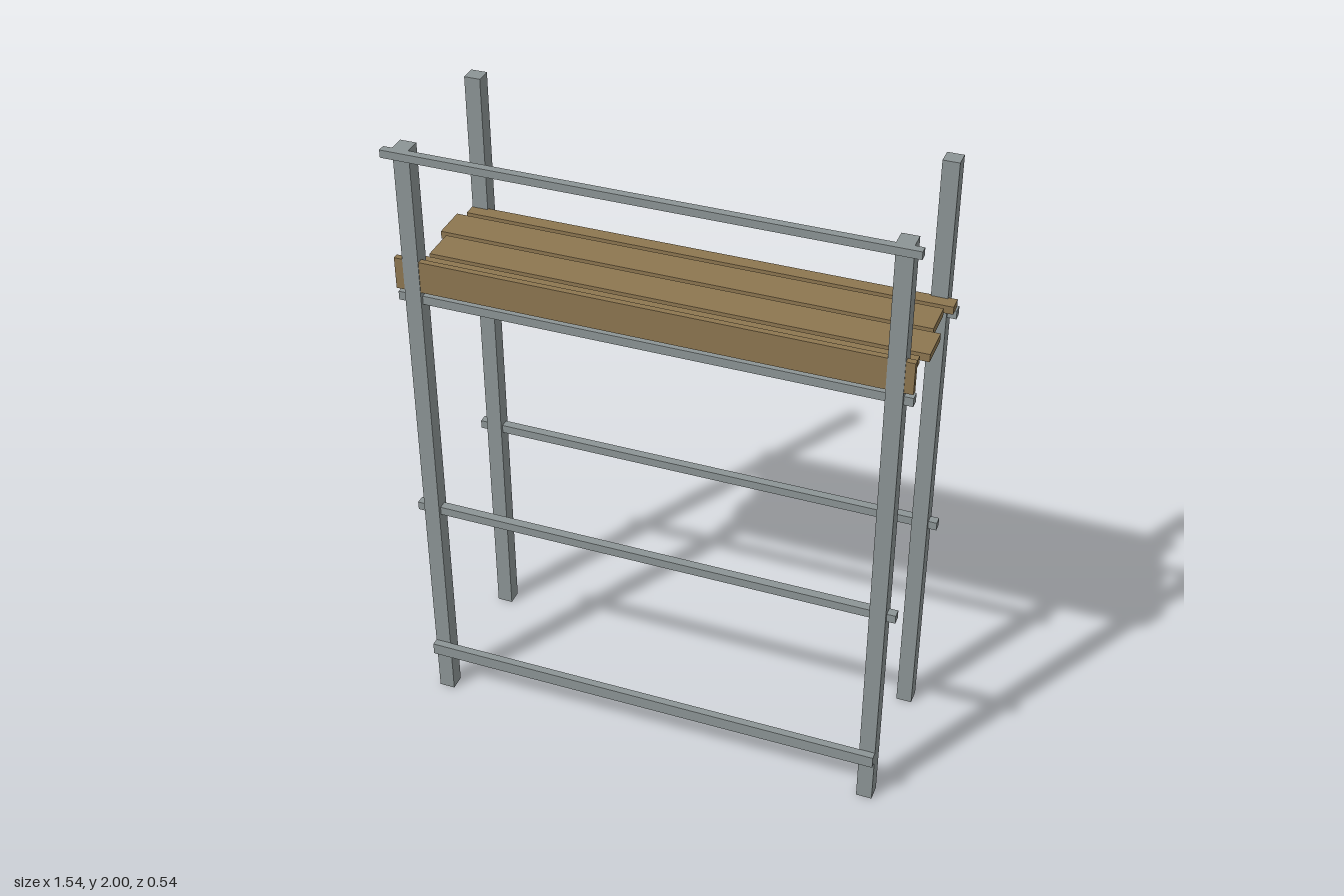
import * as THREE from 'three';

export function createModel() {
  const model = new THREE.Group();
  model.name = 'scaffold';

  const steel = new THREE.MeshStandardMaterial({ color: 0x8c9495 });
  steel.name = 'grey steel';
  const wood = new THREE.MeshStandardMaterial({ color: 0x8d7650 });
  wood.name = 'brown wood';

  // Box given by its limits on each axis
  function bar(name, material, [x0, x1], [y0, y1], [z0, z1]) {
    const mesh = new THREE.Mesh(new THREE.BoxGeometry(x1 - x0, y1 - y0, z1 - z0), material);
    mesh.position.set((x0 + x1) / 2, (y0 + y1) / 2, (z0 + z1) / 2);
    mesh.name = name;
    model.add(mesh);
  }

  const frontZ = 0.22, backZ = -0.244, half = 0.77;

  // Four posts, each row joined by two long rails
  for (const [row, z] of [['front', frontZ], ['back', backZ]]) {
    for (const [side, x] of [['Left', 0.718], ['Right', -0.718]]) {
      bar(`${row}${side}Post`, steel, [x - 0.025, x + 0.025], [0, 2], [z - 0.025, z + 0.025]);
    }
    for (const [level, y] of [['Middle', 0.736], ['Deck', 1.509]]) {
      bar(`${row}${level}Rail`, steel, [-half, half], [y - 0.014, y + 0.014], [z - 0.014, z + 0.014]);
    }
  }

  // Rails fixed to the outer face of the front posts
  bar('guardRail', steel, [-half, half], [1.976, 2], [0.245, 0.269]);
  bar('footRail', steel, [-0.743, 0.743], [0.157, 0.197], [0.245, 0.269]);

  // Deck planks, staggered lengthwise
  const planks = [[0.091, 0.203], [-0.037, 0.075], [-0.165, -0.053], [-0.226, -0.181]];
  planks.forEach((depth, i) => {
    const span = i % 2 ? [-0.745, half] : [-half, 0.745];
    bar(`deckPlank${i + 1}`, wood, span, [1.54, 1.565], depth);
  });

  // Upright board along the front edge of the deck
  bar('toeBoard', wood, [-half, half], [1.54, 1.641], [0.224, 0.243]);

  return model;
}
